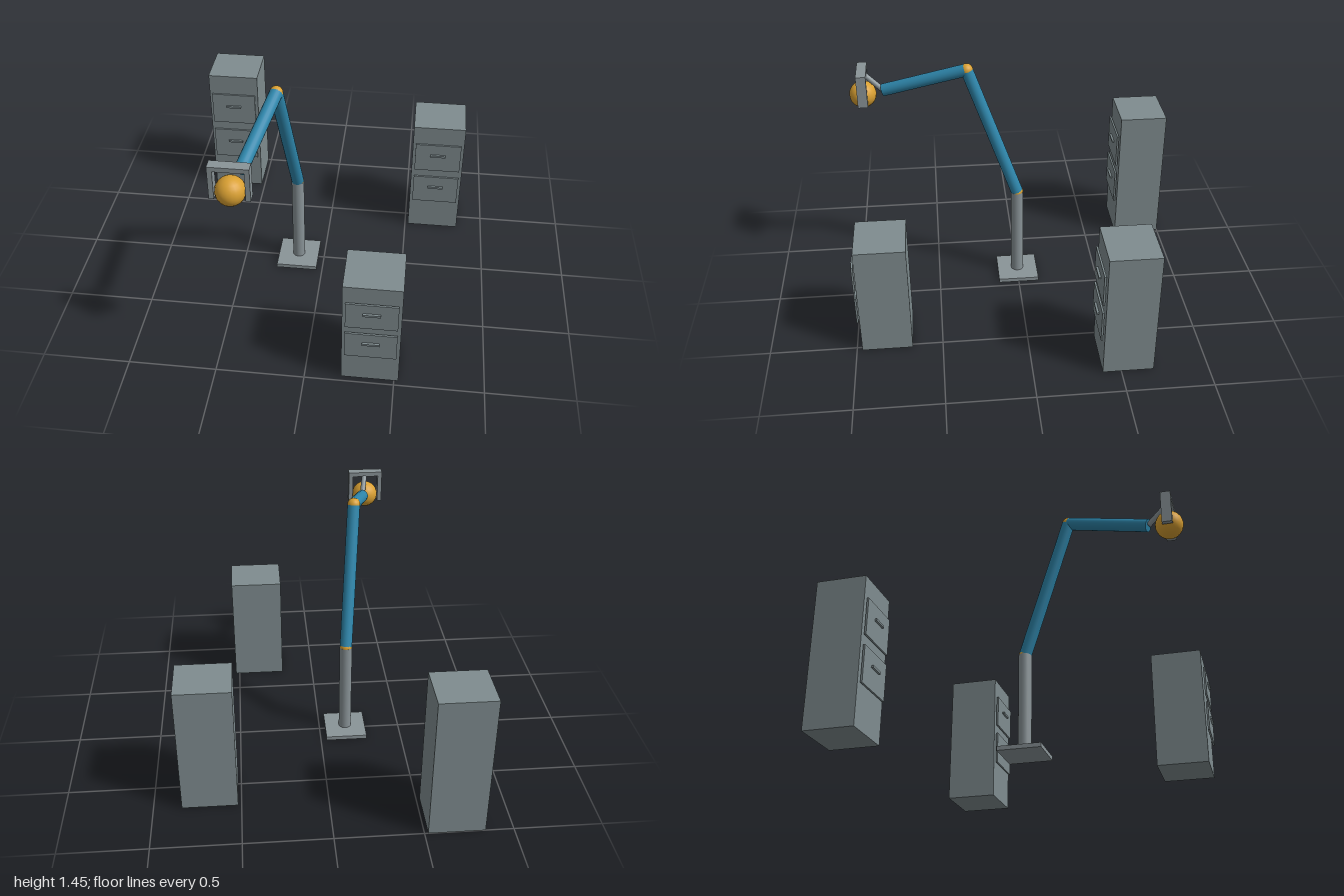
import * as THREE from 'three';

const material = (name, color) => {
  const m = new THREE.MeshStandardMaterial({ color });
  m.name = name;
  return m;
};

export function createModel() {
  const root = new THREE.Group();
  root.name = 'robotArmWithCabinets';

  const cabinetGrey = material('cabinet grey', 0x7f8c8f);
  const metalGrey = material('metal grey', 0x8a9498);
  const armBlue = material('arm blue', 0x2e86ab);
  const jointAmber = material('joint amber', 0xd9a032);

  const add = (parent, name, geometry, mat, x = 0, y = 0, z = 0) => {
    const mesh = new THREE.Mesh(geometry, mat);
    mesh.name = name;
    mesh.position.set(x, y, z);
    parent.add(mesh);
    return mesh;
  };
  const box = (parent, name, mat, w, h, d, x, y, z) =>
    add(parent, name, new THREE.BoxGeometry(w, h, d), mat, x, y, z);

  // Cylinder running from point a to point b
  const rod = (parent, name, mat, a, b, radius) => {
    const dir = b.clone().sub(a);
    const mesh = add(parent, name, new THREE.CylinderGeometry(radius, radius, dir.length(), 20), mat);
    mesh.position.copy(a).add(b).multiplyScalar(0.5);
    mesh.quaternion.setFromUnitVectors(new THREE.Vector3(0, 1, 0), dir.normalize());
    return mesh;
  };

  // Filing cabinet: body with two drawer fronts and bar handles
  const cabinet = (name, x, front, height) => {
    const group = new THREE.Group();
    group.name = name;
    group.position.set(x, 0, front);
    box(group, 'cabinetBody', cabinetGrey, 0.32, height, 0.292, 0, height / 2, -0.146);
    for (const level of [0.406, 0.725]) {
      const y = level * height;
      box(group, 'drawerFront', cabinetGrey, 0.284, height * 0.25, 0.011, 0, y, 0.0125);
      box(group, 'drawerHandle', cabinetGrey, 0.096, 0.013, 0.013, 0, y + 0.02, 0.0245);
    }
    root.add(group);
  };
  cabinet('tallCabinet', -0.681, -0.708, 0.87);
  cabinet('mediumCabinet', 0.679, -0.394, 0.78);
  cabinet('shortCabinet', 0.364, 0.968, 0.687);

  // Arm: base plate, post, two links with ball joints
  const arm = new THREE.Group();
  arm.name = 'robotArm';
  root.add(arm);
  const foot = new THREE.Vector3(-0.16, 0.025, 0);
  const shoulder = new THREE.Vector3(-0.16, 0.605, 0);
  const elbow = new THREE.Vector3(-0.224, 1.41, 0.284);
  const wrist = new THREE.Vector3(-0.335, 1.25, 0.775);
  const mount = new THREE.Vector3(-0.361, 1.352, 0.89);
  box(arm, 'basePlate', metalGrey, 0.25, 0.025, 0.25, -0.16, 0.0125, 0);
  rod(arm, 'post', metalGrey, foot, shoulder, 0.038);
  rod(arm, 'lowerLink', armBlue, shoulder, elbow, 0.037);
  rod(arm, 'upperLink', armBlue, elbow, wrist, 0.037);
  for (const [name, p] of [['shoulderJoint', shoulder], ['elbowJoint', elbow]])
    add(arm, name, new THREE.SphereGeometry(0.0375, 20, 14), jointAmber, p.x, p.y, p.z);

  // Gripper: neck, bracket and held ball
  const gripper = new THREE.Group();
  gripper.name = 'gripper';
  arm.add(gripper);
  rod(gripper, 'gripperNeck', metalGrey, wrist, mount, 0.016);
  box(gripper, 'gripperBar', metalGrey, 0.212, 0.027, 0.058, -0.365, 1.358, 0.896);
  for (const side of [-1, 1])
    box(gripper, 'gripperFinger', metalGrey, 0.026, 0.17, 0.058, -0.365 + side * 0.093, 1.26, 0.896);
  add(gripper, 'heldBall', new THREE.SphereGeometry(0.08, 20, 14), jointAmber, -0.365, 1.215, 0.897);

  return root;
}
